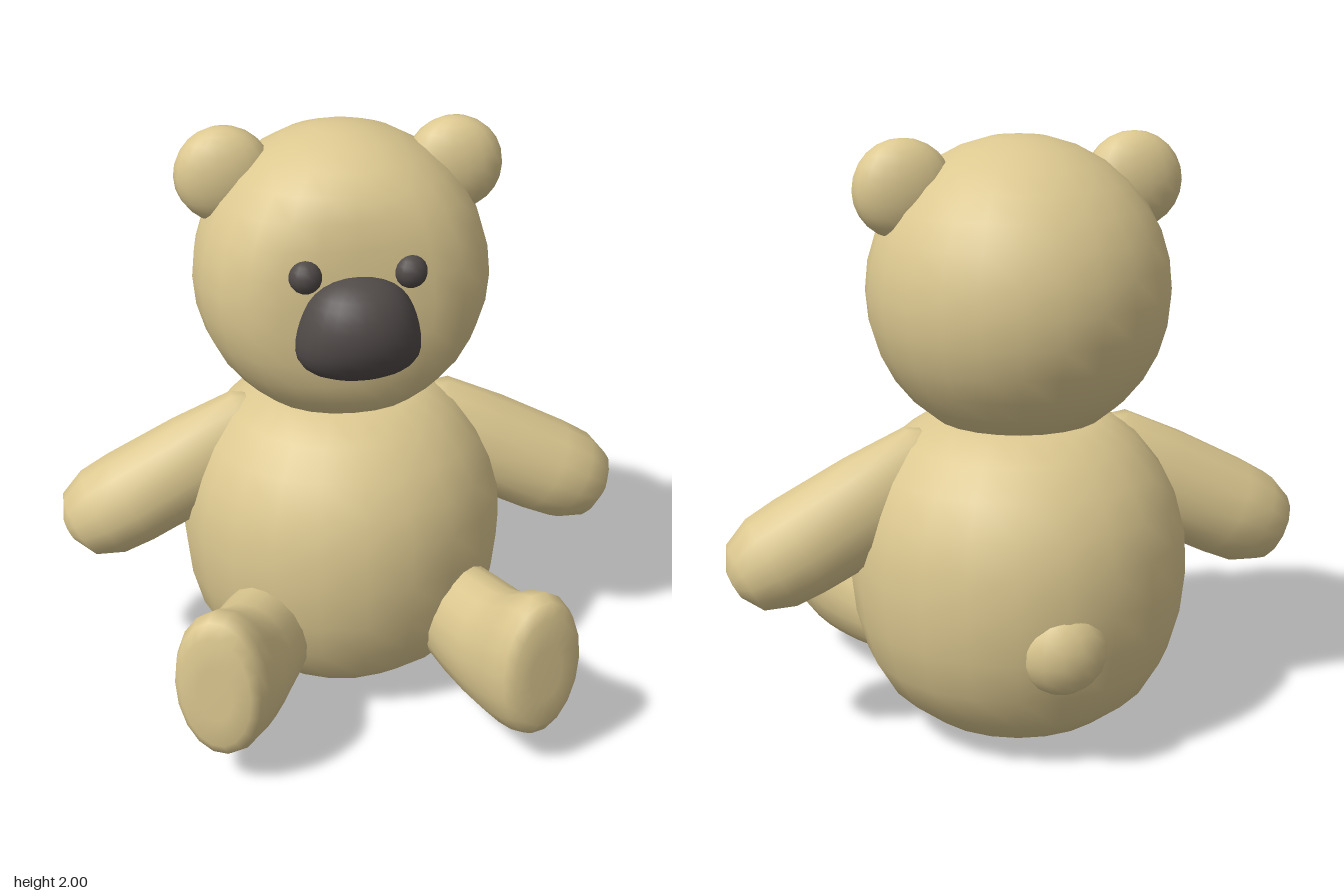
import * as THREE from 'three';
import { mergeVertices } from 'three/addons/utils/BufferGeometryUtils.js';

const fur = new THREE.MeshStandardMaterial({ color: 0xdcc890 });
fur.name = 'tan fur';
const dark = new THREE.MeshStandardMaterial({ color: 0x504a48 });
dark.name = 'dark charcoal';

// Weld seams and compute smooth normals
function smooth(geometry) {
  geometry.deleteAttribute('uv');
  geometry.deleteAttribute('normal');
  const welded = mergeVertices(geometry, 1e-4);
  welded.computeVertexNormals();
  return welded;
}

// Move every vertex by a rule
function reshape(geometry, rule) {
  const p = geometry.attributes.position;
  const v = new THREE.Vector3();
  for (let i = 0; i < p.count; i++) {
    v.fromBufferAttribute(p, i);
    rule(v);
    p.setXYZ(i, v.x, v.y, v.z);
  }
}

// Ellipsoid whose unit-sphere vertices may be reshaped first
function blob(name, material, [x, y, z], radii, segments, rule) {
  const geometry = new THREE.SphereGeometry(1, segments, Math.round(segments * 0.67));
  if (rule) reshape(geometry, rule);
  geometry.scale(...radii);
  const mesh = new THREE.Mesh(smooth(geometry), material);
  mesh.name = name;
  mesh.position.set(x, y, z);
  return mesh;
}

// Round form from a [radius, height] profile
function turned(name, profile, segments, rule) {
  const geometry = new THREE.LatheGeometry(profile.map(([r, y]) => new THREE.Vector2(r, y)), segments);
  if (rule) reshape(geometry, rule);
  const mesh = new THREE.Mesh(smooth(geometry), fur);
  mesh.name = name;
  return mesh;
}

// Leg and foot lofted along z through oval rings: [z, half width, bottom, top]
function legGeometry() {
  const rings = [
    [-0.7, 0, 0.34, 0.34], [-0.7, 0.1, 0.22, 0.46], [-0.6, 0.145, 0.15, 0.52],
    [-0.4, 0.16, 0.125, 0.545], [-0.28, 0.162, 0.115, 0.56], [-0.2, 0.163, 0.113, 0.59],
    [-0.12, 0.164, 0.118, 0.64], [-0.05, 0.16, 0.132, 0.67], [-0.01, 0.147, 0.155, 0.655],
    [0.015, 0.12, 0.2, 0.61], [0.018, 0.06, 0.3, 0.5], [0.016, 0, 0.4, 0.4],
  ];
  const n = 18;
  const positions = [];
  const index = [];
  rings.forEach(([z, half, bottom, top], i) => {
    for (let j = 0; j < n; j++) {
      const a = (j / n) * Math.PI * 2;
      positions.push(half * Math.cos(a), (bottom + top) / 2 + ((top - bottom) / 2) * Math.sin(a), z);
      if (i === rings.length - 1) continue;
      const k = (j + 1) % n;
      const [a0, b0, a1, b1] = [i * n + j, i * n + k, (i + 1) * n + j, (i + 1) * n + k];
      index.push(a0, b0, b1, a0, b1, a1);
    }
  });
  const geometry = new THREE.BufferGeometry();
  geometry.setAttribute('position', new THREE.Float32BufferAttribute(positions, 3));
  geometry.setIndex(index);
  return smooth(geometry);
}

export function createModel() {
  const bear = new THREE.Group();
  bear.name = 'teddyBear';

  // Pear-shaped body
  const body = turned('body', [
    [0, 0.005], [0.17, 0.018], [0.32, 0.07], [0.44, 0.165], [0.51, 0.285], [0.547, 0.42],
    [0.562, 0.56], [0.556, 0.7], [0.525, 0.82], [0.47, 0.925], [0.39, 1.02], [0.285, 1.09], [0, 1.13],
  ], 22);
  body.position.z = -0.15;
  bear.add(body);

  // Head, with the face softly flattened
  bear.add(blob('head', fur, [0, 1.502, -0.15], [0.495, 0.497, 0.495], 24, (v) => {
    if (v.z > 0) v.z /= Math.pow(1 + Math.pow(v.z / 0.77, 6), 1 / 6);
  }));

  // Nose, wider toward the bottom and blunt on top
  bear.add(blob('nose', dark, [0, 1.438, 0.21], [0.196, 0.173, 0.157], 24, (v) => {
    v.x *= 1 - 0.2 * v.y + 0.3 * v.y * v.y;
  }));

  // Tail
  bear.add(blob('tail', fur, [0, 0.45, -0.645], [0.145, 0.145, 0.108], 14));

  const leg = legGeometry();
  for (const [side, s] of [['left', 1], ['right', -1]]) {
    // Ears with flattened faces
    bear.add(blob(side + 'Ear', fur, [s * 0.38, 1.842, -0.163], [0.162, 0.158, 0.1], 18, (v) => {
      v.z = Math.sign(v.z) * Math.pow(Math.abs(v.z), 0.85);
    }));
    bear.add(blob(side + 'Eye', dark, [s * 0.167, 1.615, 0.205], [0.054, 0.054, 0.052], 14));

    // Arm sloping outward and down, thinning front to back at the shoulder
    const arm = turned(side + 'Arm', [
      [0, -0.25], [0.11, -0.225], [0.168, -0.14], [0.178, 0.08], [0.174, 0.34],
      [0.166, 0.45], [0.125, 0.545], [0.05, 0.588], [0, 0.593],
    ], 14, (v) => {
      v.z *= THREE.MathUtils.mapLinear(Math.min(v.y, 0.35), -0.15, 0.35, 0.65, 0.97);
    });
    arm.position.set(s * 0.432, 0.854, -0.15);
    arm.quaternion.setFromUnitVectors(
      new THREE.Vector3(0, 1, 0), new THREE.Vector3(s * 0.89, -0.455, 0).normalize());
    bear.add(arm);

    // Splayed leg; the right one turns out a little more
    const legMesh = new THREE.Mesh(leg, fur);
    legMesh.name = side + 'Leg';
    legMesh.position.set(s * 0.525, 0, s > 0 ? 0.7 : 0.645);
    legMesh.rotation.y = s > 0 ? 0.33 : -0.46;
    bear.add(legMesh);
  }
  return bear;
}
